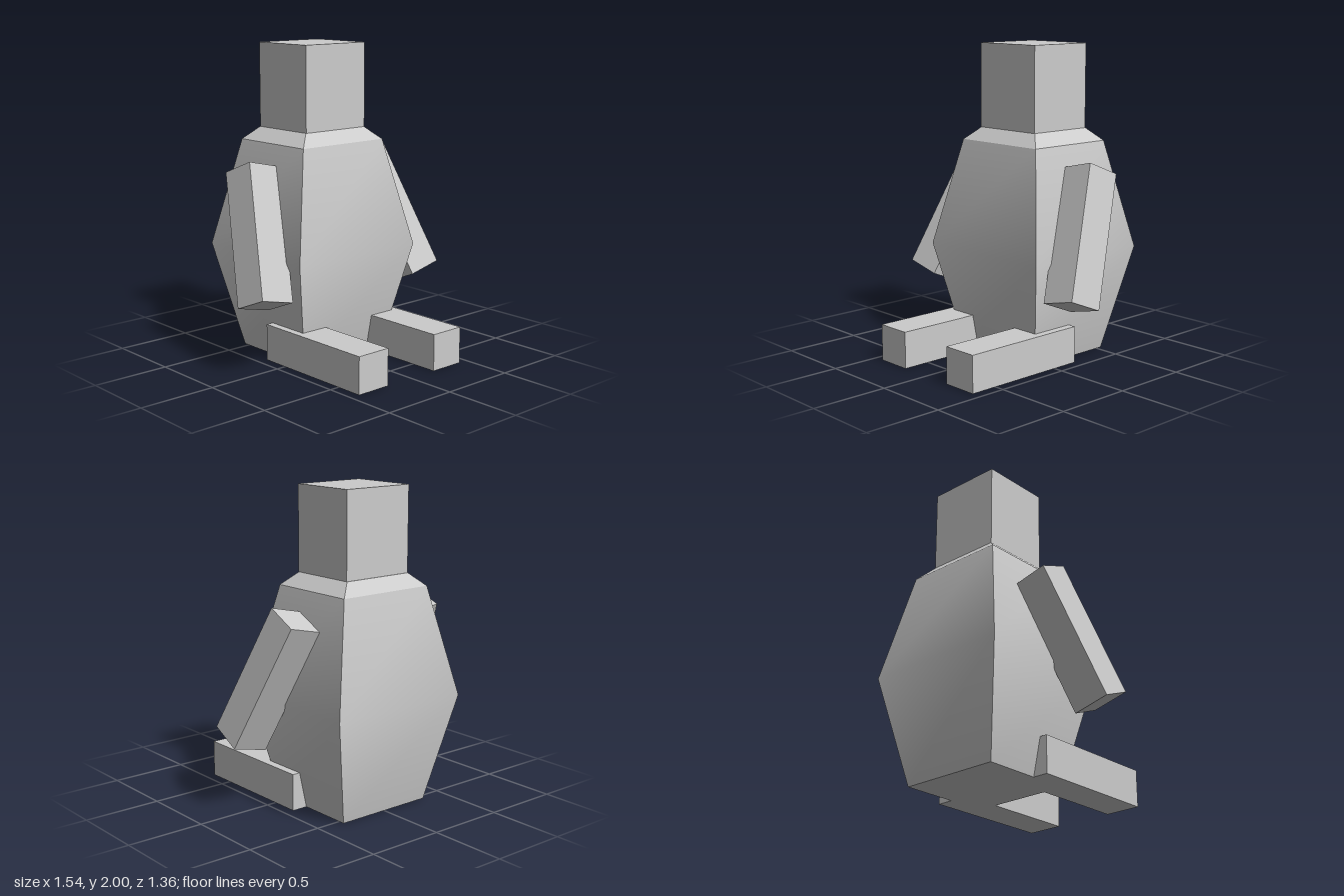
import * as THREE from 'three';
import { toCreasedNormals } from 'three/addons/utils/BufferGeometryUtils.js';

const material = new THREE.MeshStandardMaterial({ color: 0xcccccc });

function addMesh(parent, name, geometry, x, y, z) {
  const mesh = new THREE.Mesh(geometry, material);
  mesh.name = name;
  mesh.position.set(x, y, z);
  parent.add(mesh);
  return mesh;
}

// Closed loft through rectangular rings [y, half width, half depth], bottom to top
function rectLoft(rings) {
  const corners = [[-1, 1], [1, 1], [1, -1], [-1, -1]];
  const points = [], index = [];
  for (const [y, hx, hz] of rings) {
    for (const [sx, sz] of corners) points.push(sx * hx, y, sz * hz);
  }
  for (let r = 0; r < rings.length - 1; r++) {
    for (let i = 0; i < 4; i++) {
      const a = r * 4 + i, b = r * 4 + (i + 1) % 4;
      index.push(a, b, b + 4, a, b + 4, a + 4);
    }
  }
  const t = (rings.length - 1) * 4;
  index.push(0, 2, 1, 0, 3, 2, t, t + 1, t + 2, t, t + 2, t + 3);
  const geometry = new THREE.BufferGeometry();
  geometry.setAttribute('position', new THREE.Float32BufferAttribute(points, 3));
  geometry.setIndex(index);
  return toCreasedNormals(geometry, THREE.MathUtils.degToRad(30));
}

export function createModel() {
  const model = new THREE.Group();
  model.name = 'seatedFigure';
  const bodyZ = -0.235;

  // Barrel-shaped torso, softly shaded over the belly, with sloped shoulders
  const torso = rectLoft([
    [0, 0.333, 0.305],
    [0.69, 0.486, 0.447],
    [1.38, 0.333, 0.305],
    [1.46, 0.245, 0.227],
  ]);
  addMesh(model, 'torso', torso, -0.002, 0, bodyZ);
  addMesh(model, 'head', new THREE.BoxGeometry(0.49, 0.54, 0.454), -0.002, 1.73, bodyZ + 0.003);

  // Arms swing out and forward; legs lie flat in front
  for (const side of [1, -1]) {
    const label = side > 0 ? 'left' : 'right';
    const arm = addMesh(model, label + 'Arm', new THREE.BoxGeometry(0.24, 0.865, 0.234),
      side * 0.554, 0.84, -0.098);
    arm.rotation.set(THREE.MathUtils.degToRad(-23), 0, side * THREE.MathUtils.degToRad(13), 'ZXY');
    addMesh(model, label + 'Leg', new THREE.BoxGeometry(0.237, 0.236, 0.862),
      side * 0.317, 0.118, 0.25);
  }
  return model;
}
